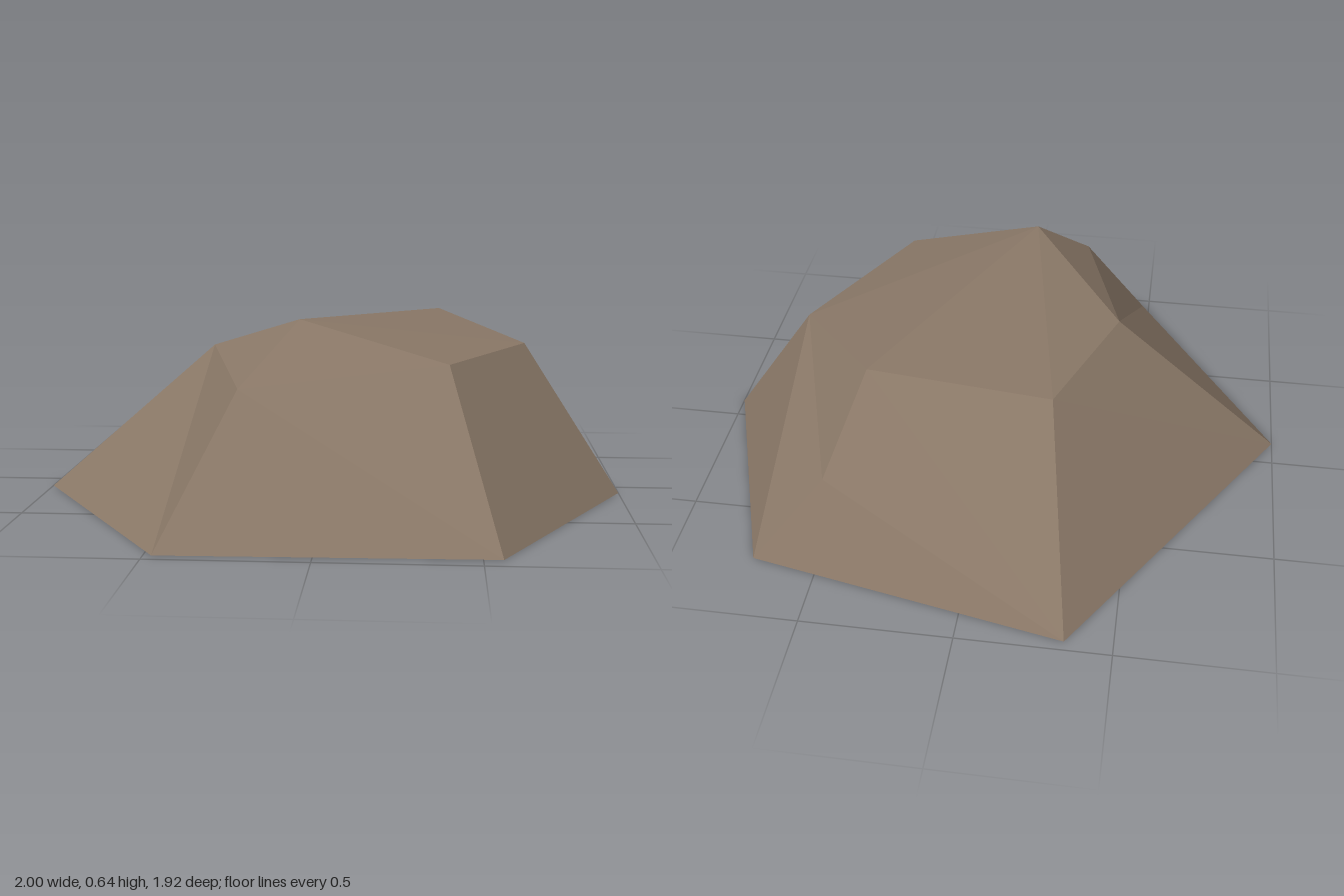
import * as THREE from 'three';

// Corners of the boulder: a six-sided ground ring (capitals) and the chipped upper corners
const corners = {
  A: [-1, 0, 0.11], B: [-0.475, 0, 0.96], C: [0.56, 0, 0.935],
  D: [1, 0, 0.085], E: [0.72, 0, -0.745], F: [-0.345, 0, -0.965],
  a: [-0.415, 0.51, 0.08], b: [-0.255, 0.45, 0.667], c: [0.4, 0.51, 0.515],
  d: [0.67, 0.51, -0.035], g: [0.37, 0.59, -0.43], h: [0.49, 0.28, -0.635],
  k: [-0.235, 0.51, -0.4], p: [-0.08, 0.645, 0.46],
};

// Facets, counter-clockwise from outside
const sides = 'ABa Bba BCb bCc CDc Ddc DEd Ehd hgd EFh Fgh Fkg FAk Aak';
const crown = 'abp bcp cdp dgp pgk apk';

function facets(list) {
  const points = list.split(' ').flatMap((face) => [...face].flatMap((key) => corners[key]));
  const geometry = new THREE.BufferGeometry();
  geometry.setAttribute('position', new THREE.Float32BufferAttribute(points, 3));
  geometry.computeVertexNormals(); // unshared corners give flat facets
  return geometry;
}

export function createModel() {
  const stone = new THREE.MeshStandardMaterial({
    color: 0x8a7867, flatShading: true, side: THREE.DoubleSide,
  });
  stone.name = 'brown stone';

  const rock = new THREE.Group();
  rock.name = 'rock';
  for (const [name, list] of [['rockSides', sides], ['rockCrown', crown]]) {
    const mesh = new THREE.Mesh(facets(list), stone);
    mesh.name = name;
    rock.add(mesh);
  }
  return rock;
}
